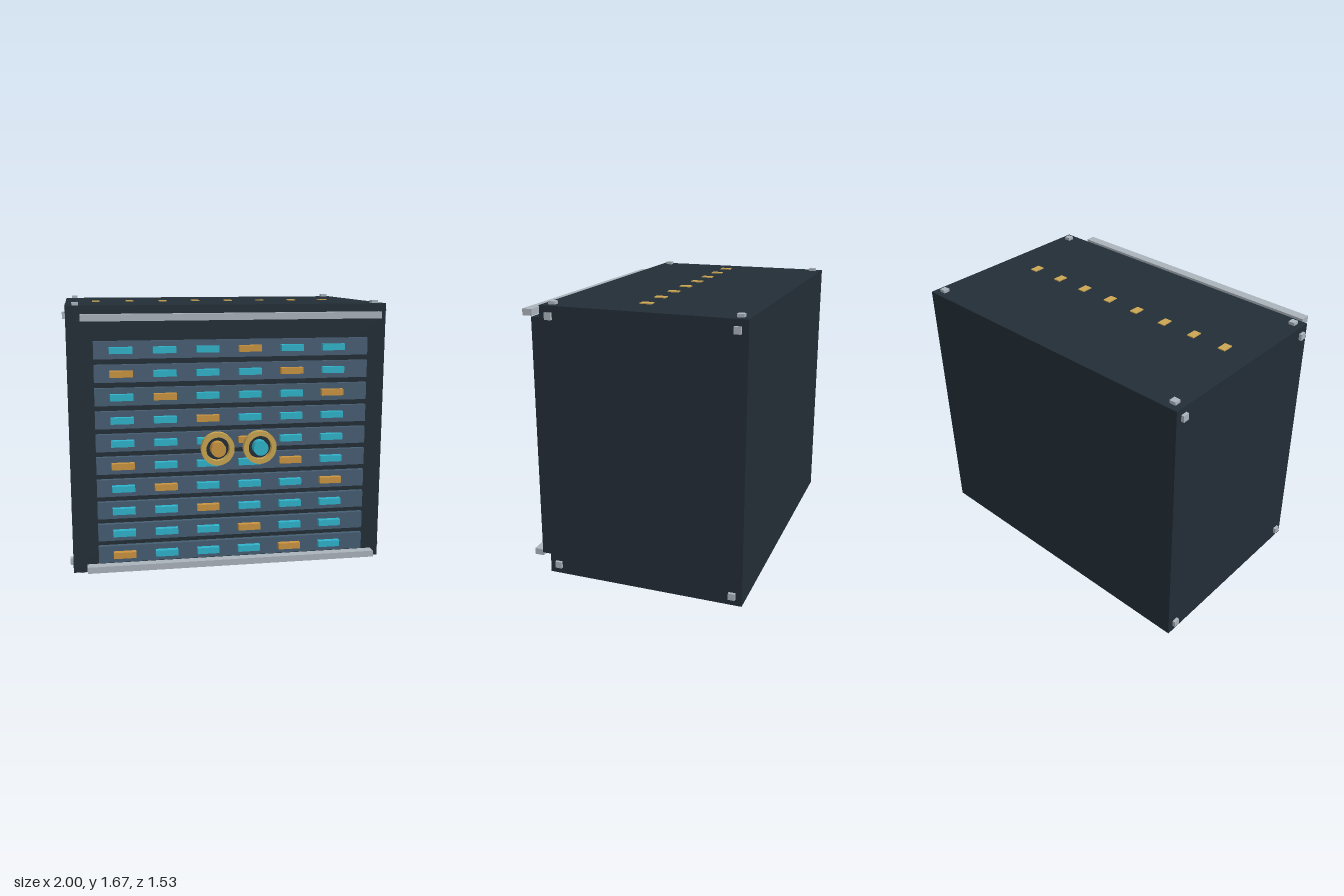
import * as THREE from 'three';

const mat = (name, color) => {
  const m = new THREE.MeshStandardMaterial({ color });
  m.name = name;
  return m;
};

export function createModel() {
  const model = new THREE.Group();
  model.name = 'controlCabinet';

  const dark = mat('darkCasing', 0x222d36);
  const slate = mat('slateBlue', 0x465d72);
  const cyan = mat('cyan', 0x2fb3cb);
  const orange = mat('orange', 0xca9440);
  const gold = mat('gold', 0xcaa552);
  const steel = mat('steel', 0xaab2bb);

  // Box given by its minimum and maximum corners
  const box = (name, material, x0, x1, y0, y1, z0, z1, parent = model) => {
    const mesh = new THREE.Mesh(new THREE.BoxGeometry(x1 - x0, y1 - y0, z1 - z0), material);
    mesh.position.set((x0 + x1) / 2, (y0 + y1) / 2, (z0 + z1) / 2);
    mesh.name = name;
    parent.add(mesh);
    return mesh;
  };

  // Cabinet and floating front panel
  box('cabinet', dark, -0.982, 0.982, 0.018, 1.657, -0.765, 0.438);
  box('frontPanel', dark, -0.923, 0.923, 0.1, 1.575, 0.468, 0.525);

  // Drawer rows, each with six indicator blocks
  for (let row = 0; row < 10; row++) {
    const y = 0.166 + row * 0.1377;
    const drawer = new THREE.Group();
    drawer.name = 'drawerRow';
    model.add(drawer);
    box('drawerFace', slate, -0.828, 0.828, y - 0.052, y + 0.052, 0.525, 0.555, drawer);
    for (let col = 0; col < 6; col++) {
      const x = -0.671 + col * 0.2553;
      box('indicator', (row + col) % 4 === 0 ? orange : cyan,
        x - 0.068, x + 0.068, y - 0.019, y + 0.019, 0.555, 0.59, drawer);
    }
  }

  // Rails across the top and bottom of the front
  for (const y of [0.085, 1.594]) {
    box('rail', steel, -0.898, 0.898, y - 0.0195, y + 0.0195, 0.535, 0.595);
  }

  // Corner fittings on the sides, top and bottom
  for (const s of [-1, 1]) {
    for (const z of [-0.708, 0.38]) {
      const x = s * 0.923;
      for (const y of [0.077, 1.599]) {
        box('sideFitting', steel, s * 0.988 - 0.012, s * 0.988 + 0.012,
          y - 0.02, y + 0.02, z - 0.02, z + 0.02);
      }
      box('topFitting', steel, x - 0.02, x + 0.02, 1.65, 1.675, z - 0.02, z + 0.02);
      box('footFitting', steel, x - 0.02, x + 0.02, 0, 0.025, z - 0.02, z + 0.02);
    }
  }

  // Row of gold contacts on the roof
  for (let i = 0; i < 8; i++) {
    const x = -0.789 + i * 0.217;
    box('roofContact', gold, x - 0.024, x + 0.024, 1.654, 1.663, -0.14, -0.071);
  }

  // Pair of dials: dark hub, gold ring, coloured cap
  const disc = (name, material, r, z0, z1, parent) => {
    const mesh = new THREE.Mesh(
      new THREE.CylinderGeometry(r, r, z1 - z0, 32).rotateX(Math.PI / 2), material);
    mesh.position.z = (z0 + z1) / 2;
    mesh.name = name;
    parent.add(mesh);
  };
  const ringShape = new THREE.Shape().absarc(0, 0, 0.098, 0, Math.PI * 2);
  ringShape.holes.push(new THREE.Path().absarc(0, 0, 0.069, 0, Math.PI * 2, true));
  const ringGeometry = new THREE.ExtrudeGeometry(ringShape,
    { depth: 0.04, bevelEnabled: false, curveSegments: 32 });
  for (const [x, capMaterial] of [[-0.128, orange], [0.123, cyan]]) {
    const dial = new THREE.Group();
    dial.name = 'dial';
    dial.position.set(x, 0.838, 0);
    disc('dialHub', dark, 0.083, 0.657, 0.706, dial);
    disc('dialCap', capMaterial, 0.044, 0.706, 0.765, dial);
    const ring = new THREE.Mesh(ringGeometry, gold);
    ring.name = 'dialRing';
    ring.position.z = 0.703;
    dial.add(ring);
    model.add(dial);
  }

  return model;
}
